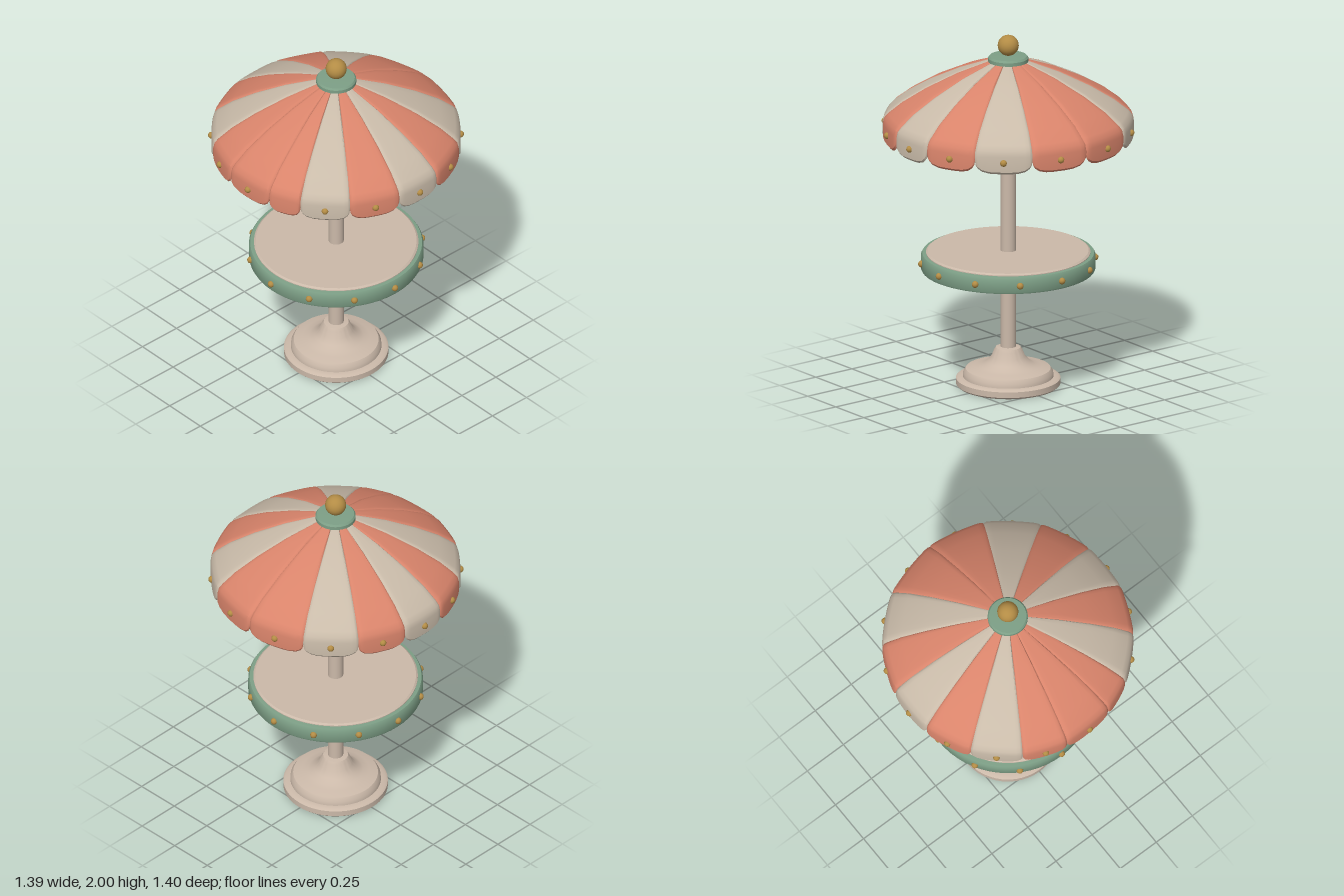
import * as THREE from 'three';
import { toCreasedNormals } from 'three/addons/utils/BufferGeometryUtils.js';

const mat = (name, color) => {
  const m = new THREE.MeshStandardMaterial({ color });
  m.name = name;
  return m;
};

export function createModel() {
  const coral = mat('coral', 0xd9846b);
  const cream = mat('cream', 0xc9bba9);
  const stone = mat('stone', 0xcbb9a9);
  const green = mat('green', 0x7d9f86);
  const gold = mat('gold', 0xb38c45);

  const model = new THREE.Group();
  model.name = 'parasolTable';

  const add = (name, geometry, material, parent = model) => {
    const mesh = new THREE.Mesh(geometry, material);
    mesh.name = name;
    parent.add(mesh);
    return mesh;
  };
  const lathe = (points, segments = 64) => toCreasedNormals(
    new THREE.LatheGeometry(points.map(([r, y]) => new THREE.Vector2(r, y)), segments), 0.6);
  const group = (name) => {
    const g = new THREE.Group();
    g.name = name;
    model.add(g);
    return g;
  };

  // Stepped base with a concave neck
  add('base', lathe([
    [0, 0], [0.275, 0], [0.286, 0.01], [0.286, 0.042], [0.275, 0.05], [0.248, 0.052],
    [0.246, 0.075], [0.232, 0.096], [0.185, 0.108], [0.15, 0.115], [0.118, 0.135],
    [0.092, 0.165], [0.078, 0.2], [0.068, 0.216], [0.04, 0.22],
  ]), stone);

  // Pole, with a coral sleeve under the canopy
  const pole = (name, y0, y1, material) => {
    const m = add(name, new THREE.CylinderGeometry(0.042, 0.042, y1 - y0, 32, 1, true), material);
    m.position.y = (y0 + y1) / 2;
  };
  pole('pole', 0.2, 1.51, stone);
  pole('poleSleeve', 1.51, 1.85, coral);

  // Round table: stone slab in a green rim
  add('tableTop', lathe([
    [0, 0.662], [0.468, 0.662], [0.468, 0.68], [0.45, 0.7], [0.45, 0.762], [0.44, 0.77], [0, 0.77],
  ]), stone);
  add('tableRim', lathe([
    [0.466, 0.664], [0.474, 0.664], [0.478, 0.672], [0.478, 0.742], [0.47, 0.756], [0.448, 0.758],
  ]), green);

  // Small round studs facing outward
  const studGeometry = new THREE.SphereGeometry(0.019, 12, 8);
  const stud = (parent, angle, radius, y) => {
    const m = add('stud', studGeometry, gold, parent);
    m.position.set(Math.sin(angle) * radius, y, Math.cos(angle) * radius);
  };
  const tableStuds = group('tableStuds');
  for (let i = 0; i < 12; i++) stud(tableStuds, i * Math.PI / 6, 0.479, 0.71);

  // One puffed canopy panel with a scalloped valance, outside and inside
  const slope = [[0.06, 1.862], [0.11, 1.853], [0.28, 1.79], [0.45, 1.708], [0.58, 1.63],
    [0.66, 1.568], [0.682, 1.543], [0.69, 1.51]];
  const lining = [[0.668, 1.505], [0.65, 1.545], [0.44, 1.685], [0.28, 1.765], [0.04, 1.835]];
  const across = [-1, -0.97, -0.9, -0.75, -0.5, -0.25, 0, 0.25, 0.5, 0.75, 0.9, 0.97, 1];

  const panelGeometry = (from, to) => {
    const half = (to - from) / 2, mid = (from + to) / 2;
    const position = [], index = [];
    let rows = 0;
    for (const s of across) {
      const e = Math.abs(s), a = mid + s * half;
      const groove = 0.009 * e ** 20;
      const bottom = 1.411 + 0.07 * (1 - Math.sqrt(1 - e ** 4));
      const flatten = 0.5 + 0.5 * Math.cos(half) / Math.cos(s * half);
      const section = [
        ...slope.map(([r, y]) => [r - groove * (r > 0.6), y - groove]),
        [0.69 - groove, bottom + 0.012], [0.68, bottom], [0.668, bottom + 0.01],
        ...lining,
      ];
      rows = section.length;
      for (const [r, y] of section) {
        position.push(Math.sin(a) * r * flatten, y, Math.cos(a) * r * flatten);
      }
    }
    for (let i = 0; i < across.length - 1; i++) {
      for (let j = 0; j < rows - 1; j++) {
        const p = i * rows + j, q = p + rows;
        index.push(p, p + 1, q, q, p + 1, q + 1);
      }
    }
    const g = new THREE.BufferGeometry();
    g.setAttribute('position', new THREE.Float32BufferAttribute(position, 3));
    g.setIndex(index);
    return toCreasedNormals(g, 0.6);
  };

  // Slightly uneven panels: seam angle in degrees from the front, then colour
  const panels = [
    [-11.5, cream], [11.5, coral], [36.6, cream], [63.4, coral], [91, coral], [119.5, cream],
    [145.2, coral], [168.5, cream], [191.5, coral], [214.8, cream], [239, coral],
    [260.5, coral], [285.5, coral], [301.3, cream], [324.4, coral], [348.5],
  ];
  const canopy = group('canopy');
  const canopyStuds = group('canopyStuds');
  for (let i = 0; i < panels.length - 1; i++) {
    const from = THREE.MathUtils.degToRad(panels[i][0]);
    const to = THREE.MathUtils.degToRad(panels[i + 1][0]);
    add('canopyPanel', panelGeometry(from, to), panels[i][1], canopy);
    // The narrow filler panel carries no stud
    if (to - from > 0.3) {
      stud(canopyStuds, (from + to) / 2, 0.69 * (0.5 + 0.5 * Math.cos((to - from) / 2)), 1.477);
    }
  }

  // Collar and ball finial
  add('collar', lathe([
    [0.05, 1.838], [0.104, 1.838], [0.11, 1.845], [0.11, 1.872], [0.102, 1.882], [0, 1.886],
  ], 48), green);
  add('finial', new THREE.SphereGeometry(0.058, 24, 16), gold).position.y = 1.942;

  return model;
}
